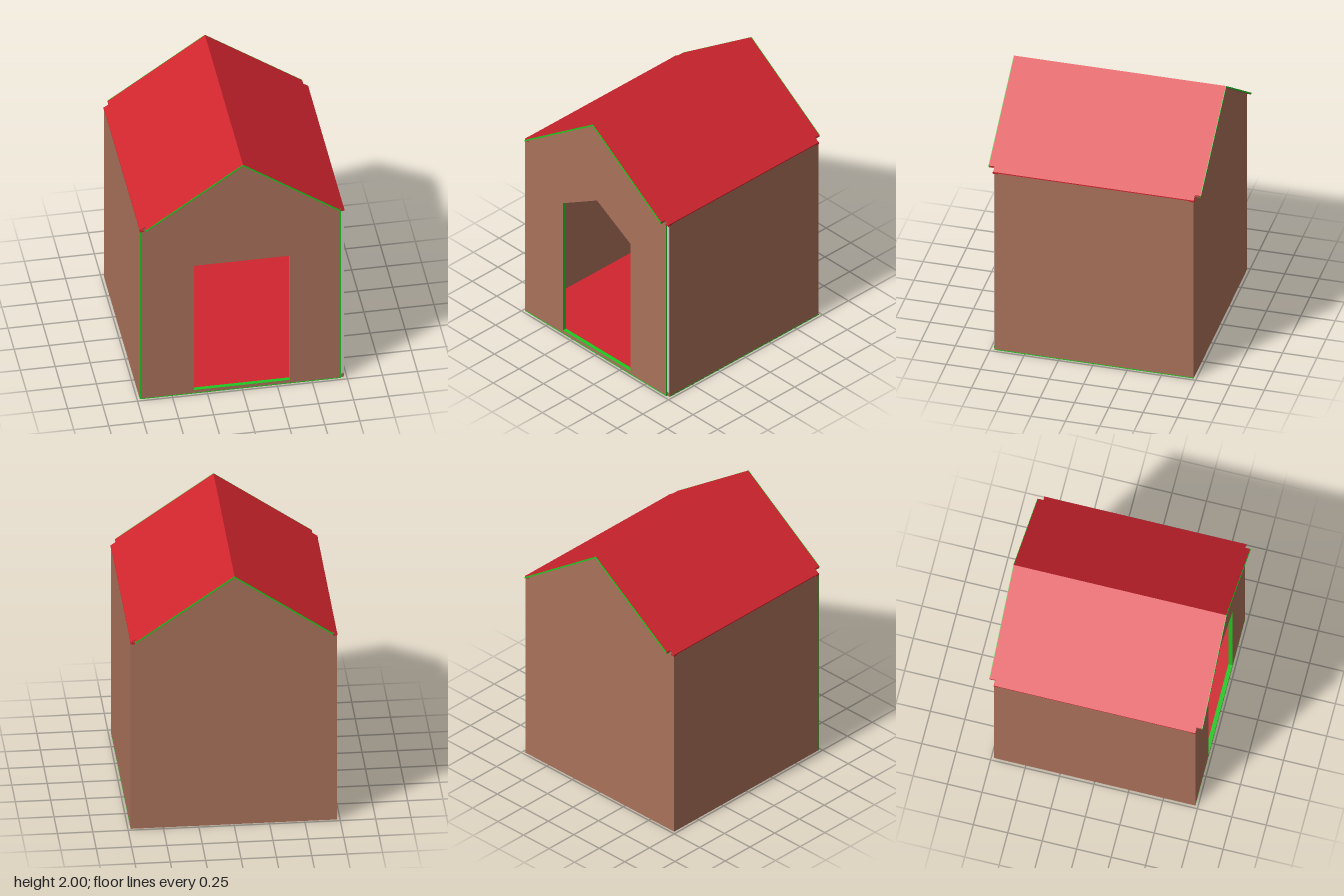
import * as THREE from 'three';

const W = 0.73;      // half width and half depth of the walls
const T = 0.03;      // panel thickness
const SLOPE = 0.703; // roof drop per unit of x
const SKIN = 0.015;  // vertical thickness of the roof

export function createModel() {
  const group = new THREE.Group();
  const mat = (name, color) => {
    const m = new THREE.MeshStandardMaterial({ color });
    m.name = name;
    return m;
  };
  const brown = mat('brown wall', 0xa9715a);
  const red = mat('red paint', 0xd0242e);
  const green = mat('green edge', 0x1fc81f);
  const grey = mat('light grey', 0xc8c8c8);
  const black = mat('black underside', 0x050505);

  const add = (name, geometry, material) => {
    const mesh = new THREE.Mesh(geometry, material);
    mesh.name = name;
    group.add(mesh);
    return mesh;
  };
  // box given by its min and max corners
  const box = (name, material, x0, x1, y0, y1, z0, z1) =>
    add(name, new THREE.BoxGeometry(x1 - x0, y1 - y0, z1 - z0), material)
      .position.set((x0 + x1) / 2, (y0 + y1) / 2, (z0 + z1) / 2);
  const polygon = (points) => new THREE.Shape(points.map(([x, y]) => new THREE.Vector2(x, y)));
  const extrude = (name, shape, z0, z1, material) =>
    add(name, new THREE.ExtrudeGeometry(shape, { depth: z1 - z0, bevelEnabled: false }), material)
      .position.z = z0;

  // pointed end wall outline reaching just under the roof
  const gable = (half) => {
    const peak = 2 - SKIN;
    const eave = peak - half * SLOPE;
    return polygon([[-half, 0], [half, 0], [half, eave], [0, peak], [-half, eave]]);
  };

  // front wall with pointed doorway, cut edges green
  const front = gable(W - T);
  front.holes.push(polygon([[-0.345, 0.03], [-0.345, 1.125], [0, 1.325], [0.342, 1.125], [0.342, 0.03]]));
  extrude('frontWall', front, W - T, W, [brown, green]);
  extrude('backWall', gable(W), -W, -W + T, brown);

  // side walls
  const eaveY = 2 - SKIN - W * SLOPE;
  box('rightWall', brown, -W, -W + T, 0, eaveY, -W + T, W);
  box('leftWall', brown, W - T, W, 0, eaveY, -W + T, W - 0.01);

  // exposed panel edges
  box('cornerEdge', grey, W - T + 0.006, W - 0.001, 0.035, eaveY, W - 0.01, W - 0.006);
  box('cornerTrim', green, W - T, W - T + 0.006, 0, eaveY, W - 0.01, W + 0.001);
  box('sideTrim', green, -W, -W + 0.008, 0, eaveY, W, W + 0.001);
  box('frontSill', green, -W, W - T, 0, 0.006, W, W + 0.001);
  box('sideSill', green, W, W + 0.001, 0, 0.006, -W, W - 0.01);

  // floor: red inside, black below
  box('floor', red, -W + T, W - T, 0.02, 0.03, -W + T, W - T);
  box('floorUnderside', black, -W + T, W - T, 0.012, 0.02, -W + T, W - T);

  // roof layers: bands following the slope between two depths
  const band = (half, top, bottom) => {
    const drop = half * SLOPE;
    return polygon([
      [-half, 2 - bottom - drop], [0, 2 - bottom], [half, 2 - bottom - drop],
      [half, 2 - top - drop], [0, 2 - top], [-half, 2 - top - drop],
    ]);
  };
  extrude('roof', band(W, 0, 0.008), -W, W, red);
  extrude('roofLining', band(W, 0.008, SKIN), -W, W, brown);

  // narrower overhang at both ends, with green rims
  for (const s of [1, -1]) {
    const span = (a, b) => (s > 0 ? [a, b] : [-b, -a]);
    extrude('overhang', band(0.695, 0, 0.008), ...span(W, 0.77), red);
    extrude('overhangLining', band(0.695, 0.008, SKIN), ...span(W, 0.77), brown);
    extrude('overhangRim', band(0.695, 0, 0.012), ...span(0.77, 0.774), green);
    // small red corner tabs under the eaves
    for (const side of [1, -1]) {
      const [x0, x1] = side > 0 ? [W - T, W + 0.001] : [-W - 0.001, -W + T];
      box('eaveTab', red, x0, x1, 1.472, 1.487, ...span(W - T, W + 0.003));
    }
  }
  return group;
}
